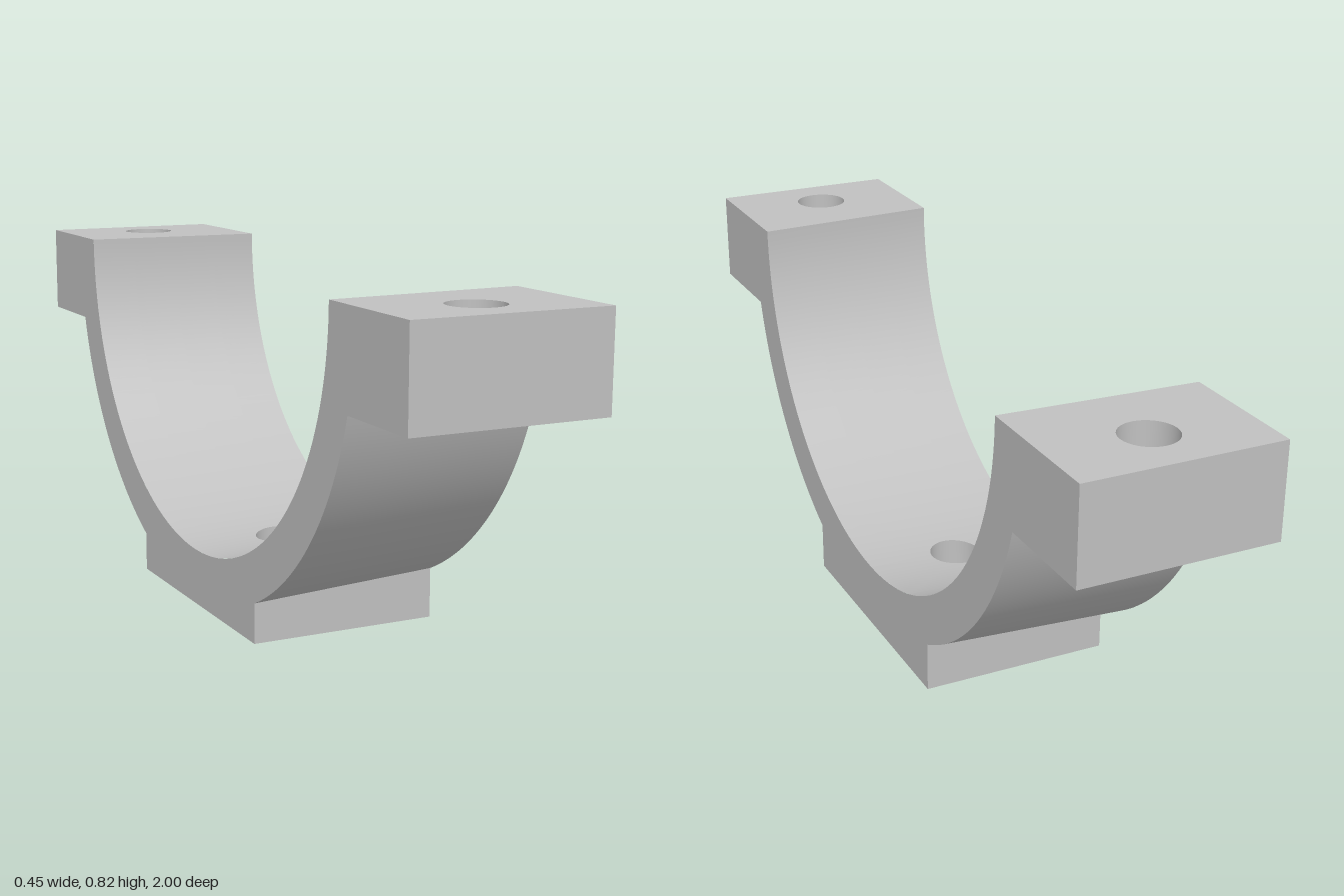
import * as THREE from 'three';

const W = 0.227, H = 0.818;            // half width, total height (also the bore axis)
const LUG_Y = 0.6, BASE_Z = 0.33;      // underside of lugs, half length of base
const HOLE_R = 0.063, LUG_HOLE_Z = 0.862;
const lerp = THREE.MathUtils.lerp;

// bore and shell taper slightly along x
const inner = x => lerp(0.683, 0.66, (x + W) / (2 * W));
const outer = x => lerp(0.795, 0.773, (x + W) / (2 * W));
const boreY = (x, z) => H - Math.sqrt(inner(x) ** 2 - z * z);
const lugStart = x => Math.sqrt(outer(x) ** 2 - (H - LUG_Y) ** 2);

// grid surface from f(u, v) -> [x, y, z]
function patch(f, nu, nv, flip = false) {
  const pos = [], idx = [];
  for (let j = 0; j <= nv; j++)
    for (let i = 0; i <= nu; i++) pos.push(...f(i / nu, j / nv));
  for (let j = 0; j < nv; j++)
    for (let i = 0; i < nu; i++) {
      const a = j * (nu + 1) + i, b = a + 1, c = a + nu + 1, d = c + 1;
      idx.push(...(flip ? [a, c, b, b, c, d] : [a, b, c, b, d, c]));
    }
  const g = new THREE.BufferGeometry();
  g.setAttribute('position', new THREE.Float32BufferAttribute(pos, 3));
  g.setIndex(idx);
  g.computeVertexNormals();
  return g;
}

// flat horizontal plate with a round hole; corners are [x, z]
function plate(corners, holeZ, y, up) {
  const k = up ? -1 : 1;
  const shape = new THREE.Shape(corners.map(([x, z]) => new THREE.Vector2(x, k * z)));
  shape.holes.push(new THREE.Path().absarc(0, k * holeZ, HOLE_R, 0, Math.PI * 2));
  return new THREE.ShapeGeometry(shape, 32).rotateX(k * Math.PI / 2).translate(0, y, 0);
}

// vertical hole wall, facing its axis
function holeWall(z0, yBottom, yTop) {
  return patch((u, v) => {
    const a = u * Math.PI * 2, x = HOLE_R * Math.cos(a), z = HOLE_R * Math.sin(a);
    return [x, lerp(yBottom, yTop(x, z), v), z0 + z];
  }, 64, 1);
}

// bracket outline on one side
function sideFace(x) {
  const R = outer(x), a0 = -Math.asin((H - LUG_Y) / R), a1 = -Math.acos(BASE_Z / R);
  const s = new THREE.Shape();
  s.moveTo(1, H);
  s.lineTo(1, LUG_Y);
  s.absarc(0, H, R, a0, a1, true);
  s.lineTo(BASE_Z, 0);
  s.lineTo(-BASE_Z, 0);
  s.absarc(0, H, R, -Math.PI - a1, -Math.PI - a0, true);
  s.lineTo(-1, LUG_Y);
  s.lineTo(-1, H);
  s.absarc(0, H, inner(x), Math.PI, Math.PI * 2, false);
  return new THREE.ShapeGeometry(s, 64).rotateY(Math.sign(x) * Math.PI / 2).translate(x, 0, 0);
}

export function createModel() {
  const metal = new THREE.MeshStandardMaterial({ color: 0xc0c0c0 });
  metal.name = 'light grey metal';
  const model = new THREE.Group();
  model.name = 'saddleBracket';
  const add = (name, geometry) => {
    const m = new THREE.Mesh(geometry, metal);
    m.name = name;
    model.add(m);
  };

  add('leftSideFace', sideFace(W));
  add('rightSideFace', sideFace(-W));

  // base underside and the drilled floor of the bore
  add('baseUnderside', plate([[-W, -BASE_Z], [W, -BASE_Z], [W, BASE_Z], [-W, BASE_Z]], 0, 0, false));
  add('baseHole', holeWall(0, 0, boreY));
  add('boreFloor', patch((u, v) => {
    const a = u * Math.PI * 2, c = Math.cos(a), s = Math.sin(a);
    const r = lerp(HOLE_R, W / Math.max(Math.abs(c), Math.abs(s)), v);
    return [r * c, boreY(r * c, r * s), r * s];
  }, 64, 10));

  for (const s of [1, -1]) {
    const end = s > 0 ? 'front' : 'back';

    // curved walls of the saddle
    add(end + 'BoreWall', patch((u, v) => {
      const x = lerp(-W, W, u), r = inner(x);
      const t = lerp(Math.asin(W / r), Math.PI / 2, v);
      return [x, H - r * Math.cos(t), s * r * Math.sin(t)];
    }, 4, 40, s > 0));
    add(end + 'OuterWall', patch((u, v) => {
      const x = lerp(-W, W, u), R = outer(x);
      const t = lerp(Math.asin(BASE_Z / R), Math.acos((H - LUG_Y) / R), v);
      return [x, H - R * Math.cos(t), s * R * Math.sin(t)];
    }, 4, 32, s < 0));

    // base end
    add(end + 'BaseWall', patch((u, v) => {
      const x = lerp(-W, W, u);
      return [x, v * (H - Math.sqrt(outer(x) ** 2 - BASE_Z ** 2)), s * BASE_Z];
    }, 4, 1, s < 0));

    // bolting lug
    const lug = f => [[-W, s * f(-W)], [W, s * f(W)], [W, s], [-W, s]];
    add(end + 'LugTop', plate(lug(inner), s * LUG_HOLE_Z, H, true));
    add(end + 'LugUnderside', plate(lug(lugStart), s * LUG_HOLE_Z, LUG_Y, false));
    add(end + 'LugEnd', patch((u, v) => [lerp(-W, W, u), lerp(LUG_Y, H, v), s], 1, 1, s < 0));
    add(end + 'LugHole', holeWall(s * LUG_HOLE_Z, LUG_Y, () => H));
  }
  return model;
}
